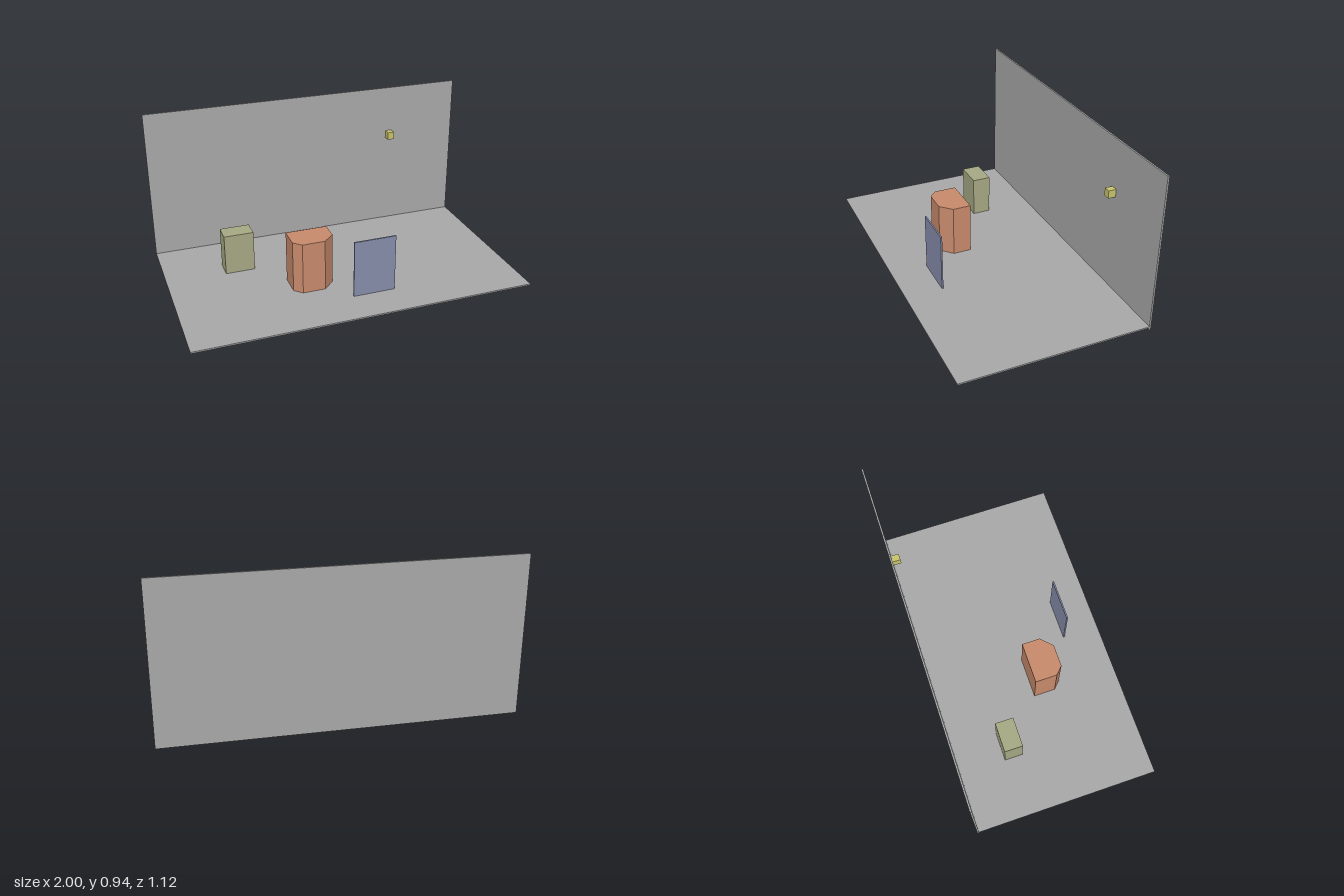
import * as THREE from 'three';

export function createModel() {
  const group = new THREE.Group();
  const mat = (name, color) => {
    const m = new THREE.MeshStandardMaterial({ color });
    m.name = name;
    return m;
  };
  const grey = mat('grey', 0xa8a8a8);
  const orange = mat('orange', 0xc88a6c);
  const blue = mat('blue', 0x878dab);
  const olive = mat('olive', 0xa6a983);
  const yellow = mat('yellow', 0xc8c46c);

  const add = (name, geometry, material) => {
    const mesh = new THREE.Mesh(geometry, material);
    mesh.name = name;
    group.add(mesh);
    return mesh;
  };
  // Box given by its minimum and maximum corners
  const box = (name, [x0, y0, z0], [x1, y1, z1], material) =>
    add(name, new THREE.BoxGeometry(x1 - x0, y1 - y0, z1 - z0), material)
      .position.set((x0 + x1) / 2, (y0 + y1) / 2, (z0 + z1) / 2);

  const floorTop = 0.024;

  // Floor and back wall
  box('floor', [-1, 0.015, -0.55], [1, floorTop, 0.56], grey);
  box('backWall', [-1, 0, -0.56], [1, 0.936, -0.55], grey);

  // Standing blocks
  box('rearBlock', [-0.646, floorTop, -0.27], [-0.469, 0.27, -0.159], olive);
  box('frontPanel', [-0.02, floorTop, 0.331], [0.231, 0.369, 0.34], blue);

  // Small block fixed to the wall
  box('wallBlock', [0.533, 0.601, -0.55], [0.573, 0.648, -0.504], yellow);

  // Block with two chamfered front corners: plan outline as (x, -z)
  const plan = [
    [-0.325, -0.03], [-0.325, -0.162], [-0.28, -0.206],
    [-0.146, -0.206], [-0.079, -0.14], [-0.079, -0.03],
  ].map(([x, y]) => new THREE.Vector2(x, y));
  const chamfered = new THREE.ExtrudeGeometry(new THREE.Shape(plan), {
    depth: 0.335 - floorTop, bevelEnabled: false,
  });
  chamfered.rotateX(-Math.PI / 2);
  add('chamferedBlock', chamfered, orange).position.y = floorTop;

  return group;
}
